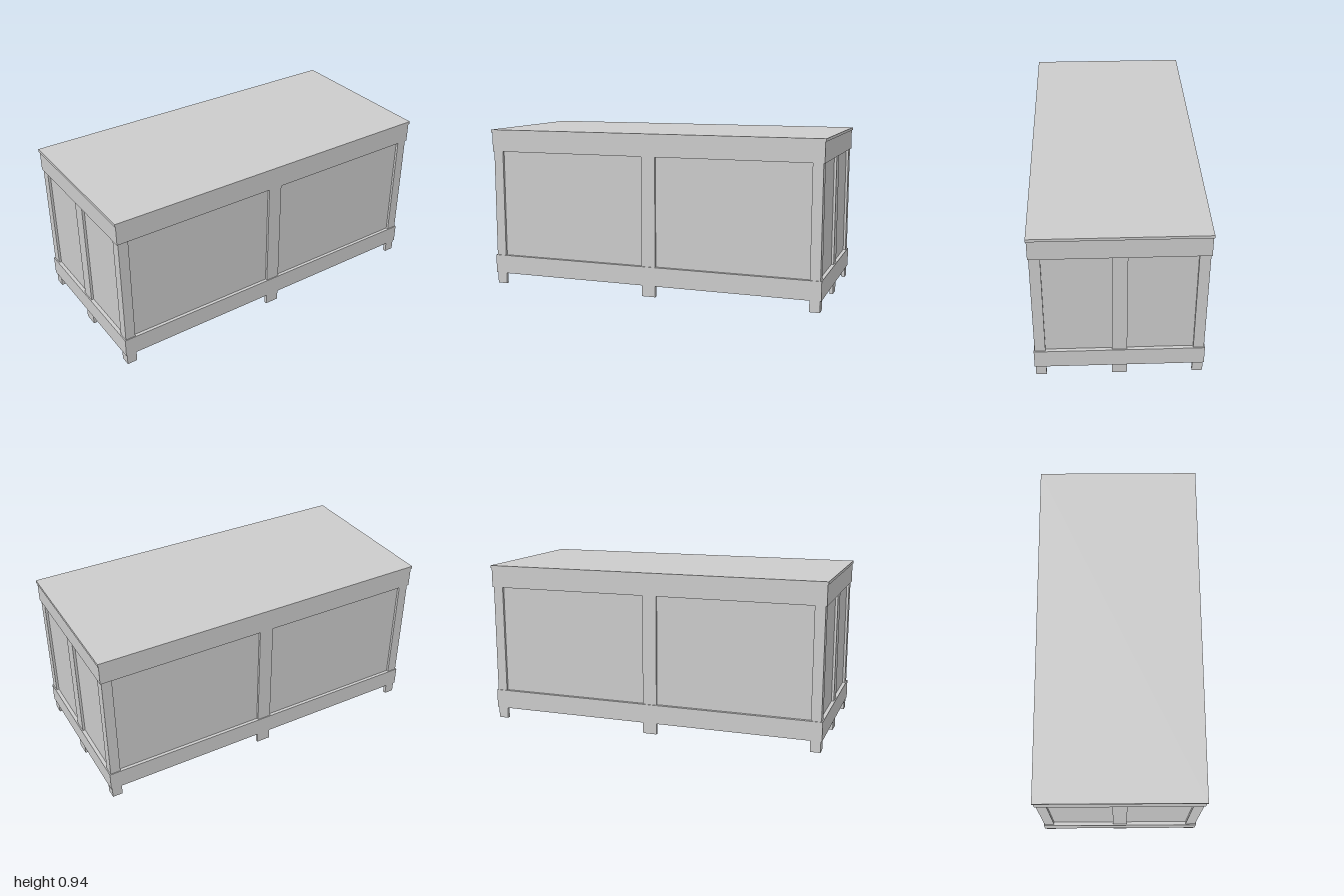
import * as THREE from 'three';

export function createModel() {
  const group = new THREE.Group();
  const material = new THREE.MeshStandardMaterial({ color: 0xcccccc, flatShading: true });

  // Box given by its limits on each axis
  const box = (name, x0, x1, y0, y1, z0, z1) => {
    const mesh = new THREE.Mesh(new THREE.BoxGeometry(x1 - x0, y1 - y0, z1 - z0), material);
    mesh.position.set((x0 + x1) / 2, (y0 + y1) / 2, (z0 + z1) / 2);
    mesh.name = name;
    group.add(mesh);
  };

  const railBottom = 0.065, railTop = 0.175, upperBottom = 0.807, upperTop = 0.921, top = 0.937;
  const postX = 0.988, postZ = 0.458; // outer faces of the posts
  const board = 0.02, postWidth = 0.058, midHalf = 0.041;

  // Lid, rail bands and recessed panel body
  box('topBoard', -1, 1, upperTop, top, -0.467, 0.467);
  box('upperRail', -0.995, 0.995, upperBottom, upperTop, -0.463, 0.463);
  box('lowerRail', -0.995, 0.995, railBottom, railTop, -0.463, 0.463);
  box('panelBody', -0.974, 0.974, railTop, upperBottom, -0.444, 0.444);

  // Post boards run down past the lower rail to form the feet
  for (const s of [-1, 1]) {
    const range = (a, b) => (s > 0 ? [a, b] : [-b, -a]);
    const z = range(postZ - board, postZ);
    const x = range(postX - board, postX);
    box('longSideMiddlePost', -midHalf, midHalf, 0, upperBottom, ...z);
    box('endMiddlePost', ...x, 0, upperBottom, -midHalf, midHalf);

    // L-shaped corner posts, one face board and one end board each
    for (const t of [-1, 1]) {
      const zt = (a, b) => (t > 0 ? [a, b] : [-b, -a]);
      box('cornerPostFace', ...range(postX - postWidth, postX), 0, upperBottom, ...zt(postZ - board, postZ));
      box('cornerPostEnd', ...x, 0, upperBottom, ...zt(postZ - postWidth, postZ - board));
    }
  }
  return group;
}
